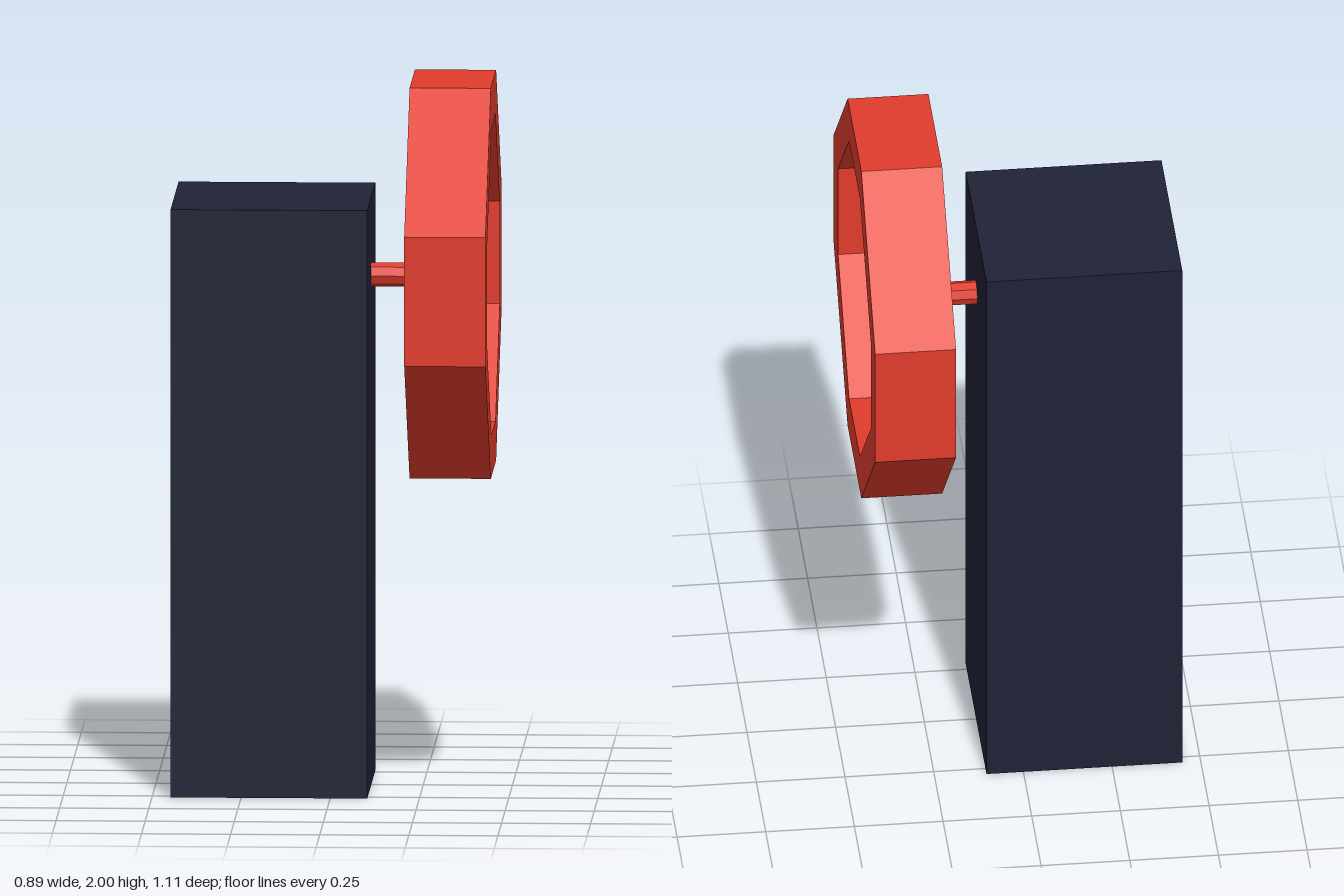
import * as THREE from 'three';

const RED = new THREE.MeshStandardMaterial({ color: 0xe03c2c, flatShading: true });
const NAVY = new THREE.MeshStandardMaterial({ color: 0x202236, flatShading: true });

// Octagon with long diagonal sides: r = half width, c = half length of the straight sides
function octagon(r, c) {
  return [[r, -c], [r, c], [c, r], [-c, r], [-r, c], [-r, -c], [-c, -r], [c, -r]]
    .map(([x, y]) => new THREE.Vector2(x, y));
}

function addMesh(parent, name, geometry, material, x = 0, y = 0, z = 0) {
  const mesh = new THREE.Mesh(geometry, material);
  mesh.name = name;
  mesh.position.set(x, y, z);
  parent.add(mesh);
  return mesh;
}

export function createModel() {
  const model = new THREE.Group();
  model.name = 'postWithWheel';

  // Square post
  addMesh(model, 'post', new THREE.BoxGeometry(0.552, 1.665, 0.555), NAVY, -0.172, 0.8325, 0);

  // Wheel group, centred on its hub
  const wheel = new THREE.Group();
  wheel.name = 'wheel';
  wheel.position.set(0.333, 1.447, 0);
  model.add(wheel);

  // Eight-sided rim
  const depth = 0.228;
  const rimShape = new THREE.Shape(octagon(0.553, 0.183));
  rimShape.holes.push(new THREE.Path(octagon(0.437, 0.145).reverse()));
  const rim = new THREE.ExtrudeGeometry(rimShape, { depth, bevelEnabled: false });
  rim.translate(0, 0, -depth / 2).rotateY(Math.PI / 2);
  addMesh(wheel, 'rim', rim, RED);

  // Two crossing spokes, ends sunk slightly into the rim
  for (const [name, turn] of [['verticalSpoke', 0], ['horizontalSpoke', Math.PI / 2]]) {
    const spoke = new THREE.CylinderGeometry(0.047, 0.047, 0.88, 8).rotateX(turn);
    addMesh(wheel, name, spoke, RED);
  }

  // Axle from the post to the hub
  const axle = new THREE.CylinderGeometry(0.034, 0.034, 0.25, 8).rotateZ(Math.PI / 2);
  addMesh(wheel, 'axle', axle, RED, -0.125, -0.002, 0);

  return model;
}
